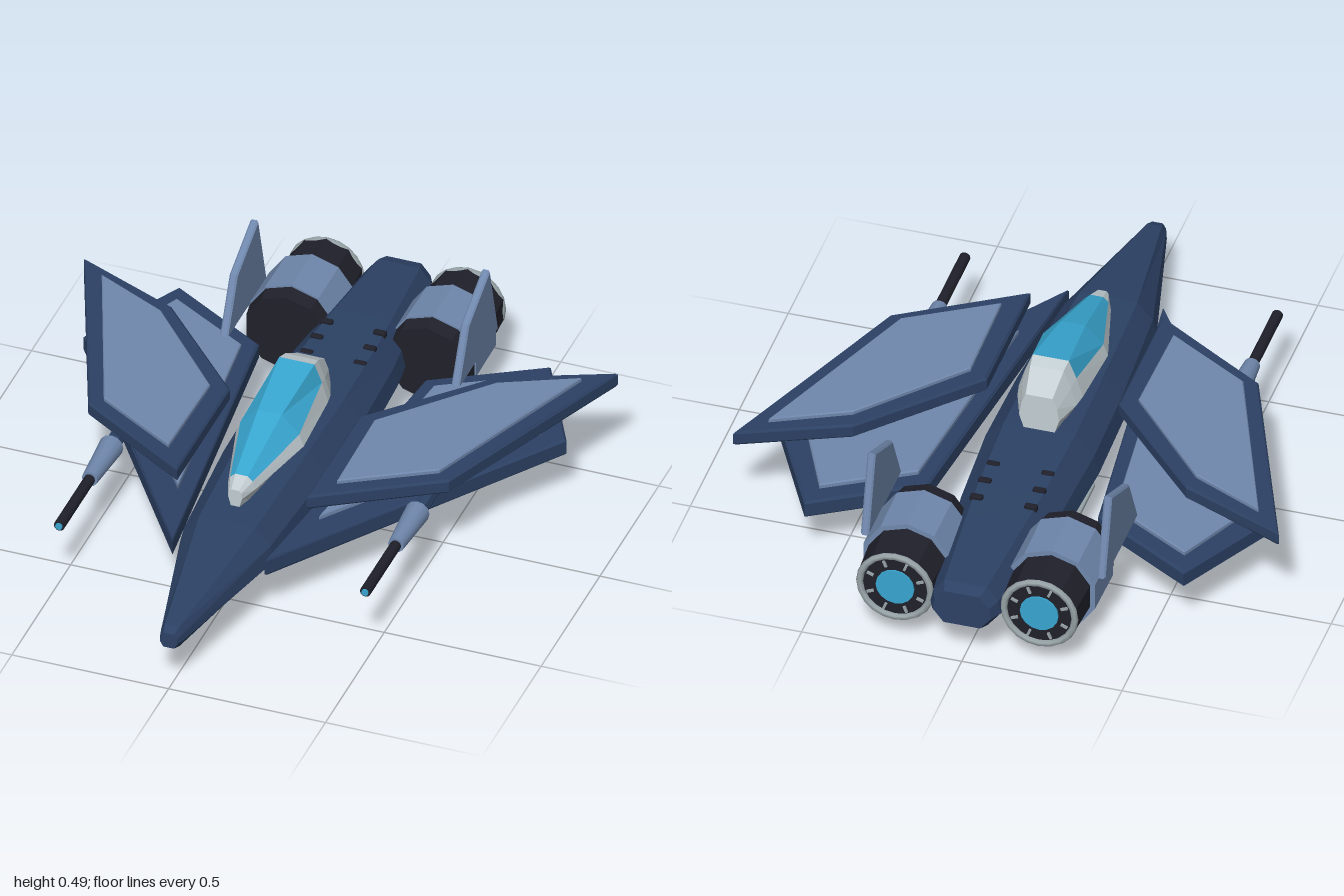
import * as THREE from 'three';
import { RoundedBoxGeometry } from 'three/addons/geometries/RoundedBoxGeometry.js';

const mat = (name, color) => {
  const m = new THREE.MeshStandardMaterial({ color });
  m.name = name;
  return m;
};

export function createModel() {
  const navy = mat('navy hull', 0x2c4164);
  const steel = mat('steel blue', 0x7088ad);
  const dark = mat('dark metal', 0x20202b);
  const white = mat('pale frame', 0xc3ced3);
  const cyan = mat('cyan glass', 0x38a6d0);
  const silver = mat('silver trim', 0x98a4a8);

  const root = new THREE.Group();
  root.name = 'starfighter';
  const add = (name, geo, material, x = 0, y = 0, z = 0, parent = root) => {
    const m = new THREE.Mesh(geo, material);
    m.name = name;
    m.position.set(x, y, z);
    parent.add(m);
    return m;
  };

  // Flat-shaded skin over rings listed nose to tail; each ring runs
  // anticlockwise seen from the front. pick() gives a material per quad.
  const loft = (rings, pick = () => 0) => {
    const n = rings[0].length;
    const buckets = [[], []];
    const put = (k, ...pts) => pts.forEach(p => buckets[k].push(...p));
    for (let i = 0; i < rings.length - 1; i++) {
      for (let j = 0; j < n; j++) {
        const k = (j + 1) % n;
        const a = rings[i][j], b = rings[i][k], c = rings[i + 1][k], d = rings[i + 1][j];
        put(pick(i, j), a, d, b, b, d, c);
      }
    }
    const f = rings[0], r = rings[rings.length - 1];
    for (let j = 1; j < n - 1; j++) {
      put(0, f[0], f[j], f[j + 1]);
      put(0, r[0], r[j + 1], r[j]);
    }
    const geo = new THREE.BufferGeometry();
    geo.setAttribute('position', new THREE.Float32BufferAttribute(buckets.flat(), 3));
    geo.addGroup(0, buckets[0].length / 3, 0);
    geo.addGroup(buckets[0].length / 3, buckets[1].length / 3, 1);
    geo.computeVertexNormals();
    return geo;
  };
  // Mirrors a right-hand half ring (bottom to top) into a full ring
  const ring = (z, half) => [
    ...half.map(([x, y]) => [x, y, z]),
    ...half.slice().reverse().map(([x, y]) => [-x, y, z]),
  ];

  // Fuselage: nose to tail as z, half width, bottom, top
  const hull = [
    [1, 0.028, 0.15, 0.2], [0.97, 0.038, 0.142, 0.212], [0.5, 0.15, 0.11, 0.28],
    [0.1, 0.178, 0.095, 0.297], [-0.2, 0.185, 0.09, 0.297], [-0.5, 0.168, 0.085, 0.285],
    [-0.65, 0.15, 0.095, 0.28], [-0.96, 0.11, 0.122, 0.262], [-1, 0.092, 0.135, 0.25],
  ].map(([z, w, b, t]) => {
    const h = t - b;
    return ring(z, [[w * 0.62, b], [w, b + h * 0.38], [w * 0.92, b + h * 0.68], [w * 0.6, t]]);
  });
  add('fuselage', loft(hull), [navy, navy]);

  // Canopy: glass on the top and upper sides, pale frame elsewhere
  const canopy = [
    [0.435, [[0.014, 0.295], [0.022, 0.325], [0.02, 0.345], [0.012, 0.353]]],
    [0.38, [[0.025, 0.29], [0.044, 0.33], [0.036, 0.357], [0.02, 0.372]]],
    [0.14, [[0.055, 0.285], [0.108, 0.345], [0.094, 0.385], [0.038, 0.443]]],
    [-0.09, [[0.055, 0.285], [0.1, 0.355], [0.08, 0.42], [0.056, 0.48]]],
    [-0.13, [[0.055, 0.285], [0.092, 0.35], [0.075, 0.41], [0.052, 0.468]]],
    [-0.21, [[0.045, 0.285], [0.062, 0.34], [0.056, 0.385], [0.042, 0.42]]],
  ].map(([z, half]) => ring(z, half));
  add('canopy', loft(canopy, (i, j) => (i >= 1 && i <= 2 && j >= 2 && j <= 4 ? 1 : 0)), [white, cyan]);

  // Bevelled slab extruded from an outline
  const slab = (pts, depth, bevel) => {
    const geo = new THREE.ExtrudeGeometry(
      new THREE.Shape(pts.map(p => new THREE.Vector2(...p))),
      {
        depth: depth - 2 * bevel, bevelEnabled: true, bevelSegments: 1,
        bevelSize: bevel, bevelThickness: bevel, bevelOffset: -bevel,
      });
    return geo.translate(0, 0, bevel);
  };
  const plate = (pts, s, depth, bevel) =>
    slab(pts.map(([x, z]) => [x * s, -z]), depth, bevel).rotateX(-Math.PI / 2);

  // Outlines as x, z for the left side
  const upperWing = [[0.206, 0.378], [0.575, 0.15], [0.852, -0.55], [0.52, -0.41], [0.206, -0.07]];
  const upperPanel = [[0.268, 0.285], [0.535, 0.125], [0.765, -0.47], [0.535, -0.36], [0.262, -0.05]];
  const lowerWing = [[0.147, 0.575], [0.77, -0.33], [0.592, -0.67], [0.265, -0.475]];
  const lowerPanel = [[0.225, 0.32], [0.69, -0.33], [0.57, -0.59], [0.307, -0.436]];
  const fin = [[0.45, 0.235], [0.535, 0.41], [0.715, 0.492], [0.785, 0.235]];

  // Cylinder along z; r0 at the front end, r1 at the rear end
  const tube = (r0, r1, front, rear, sides) =>
    new THREE.CylinderGeometry(r0, r1, front - rear, sides).toNonIndexed()
      .rotateX(Math.PI / 2).translate(0, 0, (front + rear) / 2);
  const flat = geo => { geo.computeVertexNormals(); return geo; };

  for (const s of [1, -1]) {
    const side = s > 0 ? 'left' : 'right';

    // Stacked wings with raised panels
    add(`${side}UpperWing`, plate(upperWing, s, 0.048, 0.007), navy, 0, 0.295, 0);
    add(`${side}UpperPanel`, plate(upperPanel, s, 0.02, 0.004), steel, 0, 0.337, 0);
    add(`${side}LowerWing`, plate(lowerWing, s, 0.058, 0.007), navy, 0, 0.167, 0);
    add(`${side}LowerPanel`, plate(lowerPanel, s, 0.02, 0.004), steel, 0, 0.22, 0);

    // Cannon
    const gun = new THREE.Group();
    gun.name = `${side}Cannon`;
    gun.position.set(0.488 * s, 0.23, 0);
    root.add(gun);
    add('mount', flat(tube(0.025, 0.025, 0.2, 0.03, 8)), navy, 0, 0, 0, gun);
    add('housing', tube(0.025, 0.038, 0.37, 0.185, 12), steel, 0, 0, 0, gun);
    add('barrel', tube(0.017, 0.017, 0.63, 0.36, 12), dark, 0, 0, 0, gun);
    add('muzzle', tube(0.011, 0.011, 0.635, 0.628, 12), cyan, 0, 0, 0, gun);

    // Engine
    const engine = new THREE.Group();
    engine.name = `${side}Engine`;
    engine.position.set(0.225 * s, 0.19, 0);
    root.add(engine);
    add('intake', flat(tube(0.132, 0.14, -0.595, -0.65, 10)), dark, 0, 0, 0, engine);
    add('cowl', flat(tube(0.145, 0.143, -0.645, -0.82, 10)), steel, 0, 0, 0, engine);
    add('nozzle', flat(tube(0.127, 0.12, -0.815, -0.942, 10)), dark, 0, 0, 0, engine);
    add('nozzleRim', new THREE.TorusGeometry(0.111, 0.011, 6, 20), silver, 0, 0, -0.944, engine);
    add('exhaustGlow', tube(0.06, 0.06, -0.94, -0.948, 16), cyan, 0, 0, 0, engine);
    for (let k = 0; k < 8; k++) {
      const a = (k + 0.5) * Math.PI / 4;
      const vane = add('nozzleVane', new THREE.BoxGeometry(0.022, 0.008, 0.01), silver,
        0.084 * Math.cos(a), 0.084 * Math.sin(a), -0.943, engine);
      vane.rotation.z = a;
    }

    // Tail fin
    add(`${side}TailFin`, slab(fin, 0.026, 0.005).rotateY(Math.PI / 2), steel, 0.369 * s - 0.013, 0, 0);

    // Deck vents
    for (const z of [-0.4, -0.485, -0.57]) {
      add('deckVent', new RoundedBoxGeometry(0.04, 0.022, 0.02, 1, 0.005), dark, 0.085 * s, 0.283, z);
    }

    // Belly rail
    add(`${side}BellyRail`, new RoundedBoxGeometry(0.018, 0.016, 0.205, 1, 0.005), silver, 0.12 * s, 0.008, -0.158);
  }

  // Belly plate with clipped corners
  const belly = [[0.085, 0.01], [0.112, -0.02], [0.112, -0.3], [0.085, -0.33],
    [-0.085, -0.33], [-0.112, -0.3], [-0.112, -0.02], [-0.085, 0.01]];
  add('bellyPlate', plate(belly, 1, 0.04, 0.01), dark, 0, 0.015, 0);

  return root;
}
